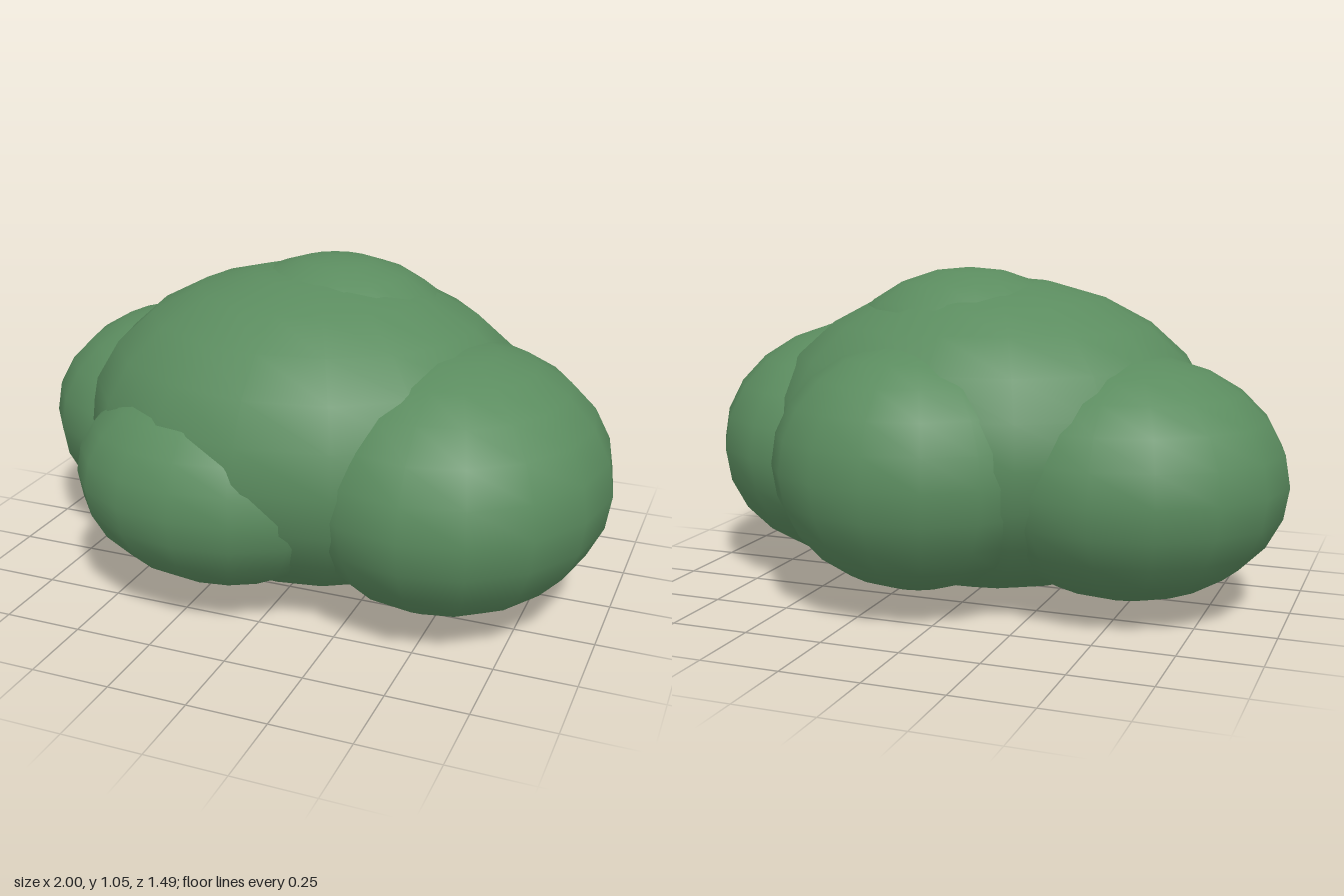
import * as THREE from 'three';

// Rounded shrub made of overlapping, squashed leaf clumps
export function createModel() {
  const shrub = new THREE.Group();
  shrub.name = 'shrub';

  const leafGreen = new THREE.MeshStandardMaterial({ color: 0x5b8c5f });
  leafGreen.name = 'leafGreen';

  const clumpGeometry = new THREE.SphereGeometry(1, 16, 12);

  // name, centre, radii
  const clumps = [
    ['mainClump', [0, 0.517, 0.03], [0.75, 0.512, 0.65]],
    ['leftClump', [0.5, 0.445, 0.135], [0.5, 0.413, 0.545]],
    ['rightClump', [-0.5, 0.43, -0.11], [0.5, 0.383, 0.457]],
    ['frontClump', [-0.18, 0.42, 0.35], [0.48, 0.335, 0.39]],
    ['backClump', [0.12, 0.465, -0.33], [0.46, 0.39, 0.415]],
    ['topClump', [0.06, 0.7, -0.02], [0.45, 0.36, 0.4]],
  ];

  for (const [name, centre, radii] of clumps) {
    const clump = new THREE.Mesh(clumpGeometry, leafGreen);
    clump.name = name;
    clump.position.set(...centre);
    clump.scale.set(...radii);
    shrub.add(clump);
  }
  return shrub;
}
